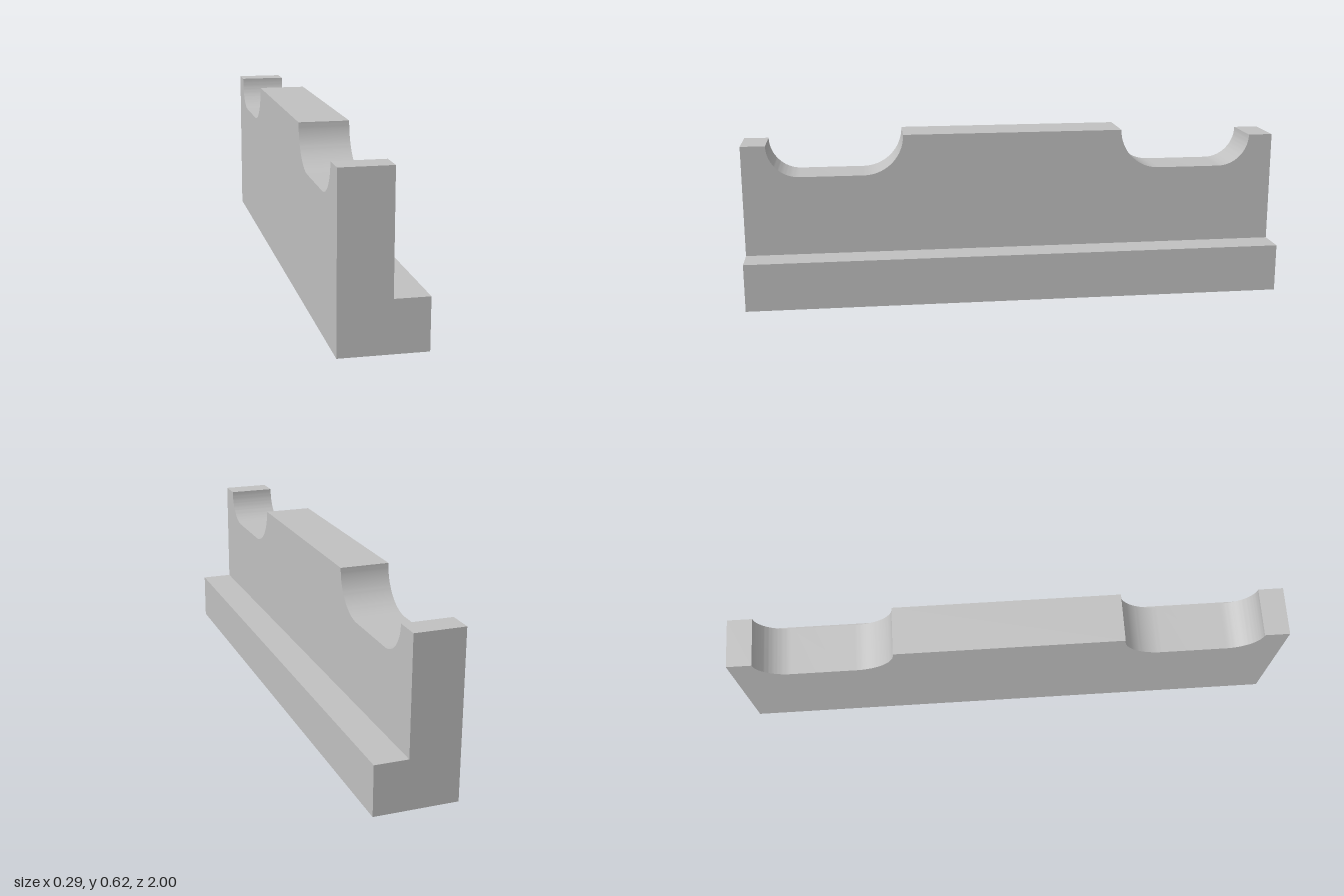
import * as THREE from 'three';
import { toCreasedNormals } from 'three/addons/utils/BufferGeometryUtils.js';

const LEFT = -0.147, STEP = 0.029, RIGHT = 0.147;
const LEDGE_TOP = 0.177, END_TOP = 0.588, MID_TOP = 0.618, NOTCH_FLOOR = 0.47;
const NOTCH_IN = 0.41, NOTCH_OUT = 0.91;

export function createModel() {
  const model = new THREE.Group();
  model.name = 'notchedRail';
  const grey = new THREE.MeshStandardMaterial({ color: 0xc0c0c0 });
  grey.name = 'plain grey';

  // Side profile of the wall (shape x = model z), with two round-cornered notches
  const rIn = MID_TOP - NOTCH_FLOOR, rOut = END_TOP - NOTCH_FLOOR;
  const q = Math.PI / 2;
  const s = new THREE.Shape();
  s.moveTo(-1, 0);
  s.lineTo(1, 0);
  s.lineTo(1, END_TOP);
  s.lineTo(NOTCH_OUT, END_TOP);
  s.absarc(NOTCH_OUT - rOut, END_TOP, rOut, 0, -q, true);
  s.absarc(NOTCH_IN + rIn, MID_TOP, rIn, -q, -2 * q, true);
  s.lineTo(-NOTCH_IN, MID_TOP);
  s.absarc(-NOTCH_IN - rIn, MID_TOP, rIn, 0, -q, true);
  s.absarc(-NOTCH_OUT + rOut, END_TOP, rOut, -q, -2 * q, true);
  s.lineTo(-1, END_TOP);
  s.closePath();

  const wallGeo = new THREE.ExtrudeGeometry(s, { depth: STEP - LEFT, bevelEnabled: false, curveSegments: 14 });
  wallGeo.rotateY(-q);
  wallGeo.translate(STEP, 0, 0);
  const wall = new THREE.Mesh(toCreasedNormals(wallGeo, 0.5), grey);
  wall.name = 'notchedWall';

  // Low ledge along the foot of the wall
  const ledge = new THREE.Mesh(new THREE.BoxGeometry(RIGHT - STEP, LEDGE_TOP, 2), grey);
  ledge.name = 'footLedge';
  ledge.position.set((STEP + RIGHT) / 2, LEDGE_TOP / 2, 0);

  model.add(wall, ledge);
  return model;
}
